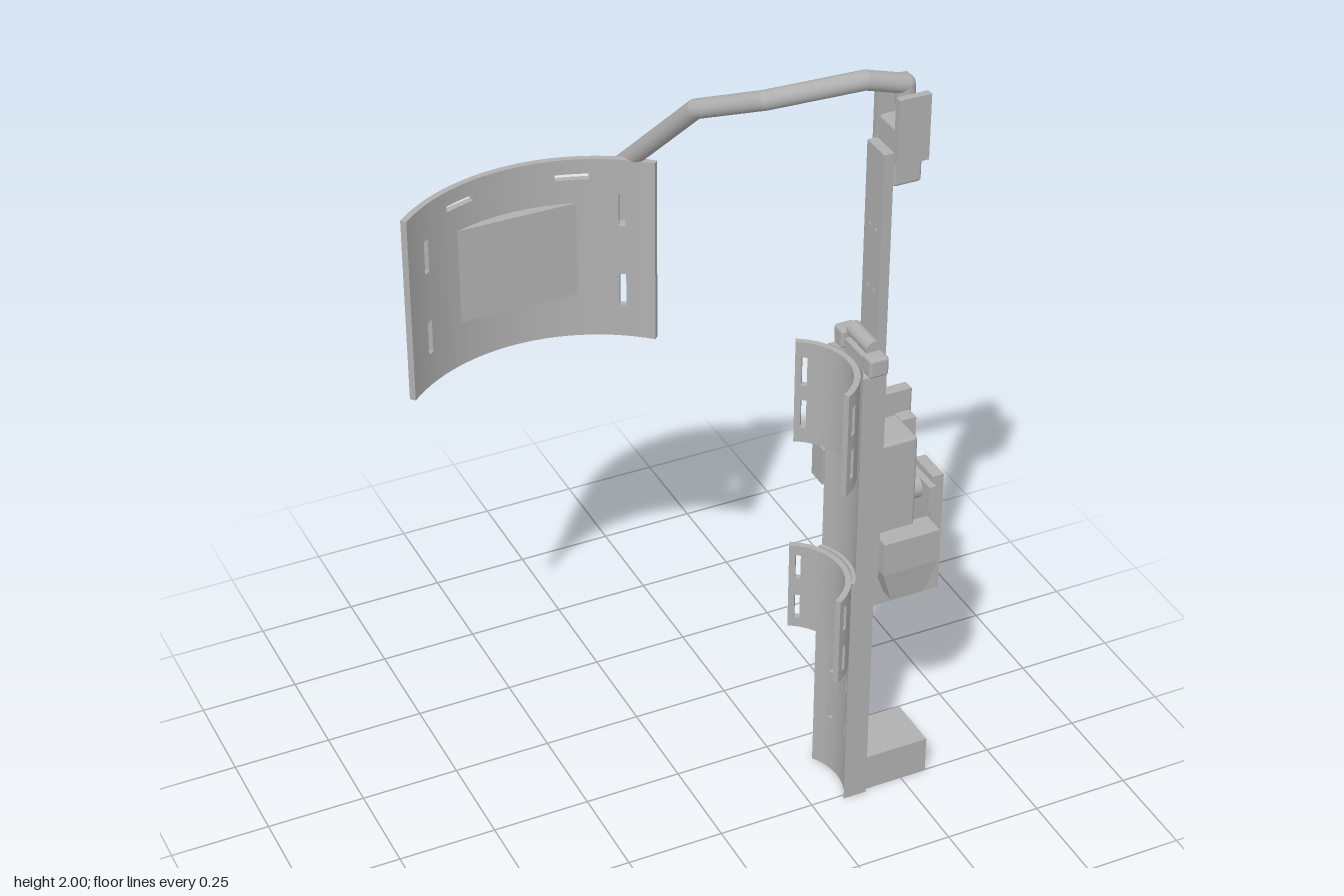
import * as THREE from 'three';
import { toCreasedNormals } from 'three/addons/utils/BufferGeometryUtils.js';
import { RoundedBoxGeometry } from 'three/addons/geometries/RoundedBoxGeometry.js';

export function createModel() {
  const model = new THREE.Group();
  const grey = new THREE.MeshStandardMaterial({ color: 0xb0b0b0 });
  grey.name = 'machined grey';

  const add = (name, geo) => {
    const mesh = new THREE.Mesh(geo, grey);
    mesh.name = name;
    model.add(mesh);
    return mesh;
  };

  // Box given by its limits, optionally with rounded edges
  const box = (name, x0, x1, y0, y1, z0, z1, r = 0) => {
    const s = [x1 - x0, y1 - y0, z1 - z0];
    const geo = r ? new RoundedBoxGeometry(...s, 2, r) : new THREE.BoxGeometry(...s);
    geo.translate((x0 + x1) / 2, (y0 + y1) / 2, (z0 + z1) / 2);
    return add(name, geo);
  };

  // Sheet between two surfaces (side 0 and 1) with rectangular holes [u0, u1, v0, v1]
  const sheet = (name, [u0, u1, n], [v0, v1], holes, surf) => {
    const us = [], vs = [v0, v1], pos = [];
    for (let i = 0; i <= n; i++) us.push(u0 + (u1 - u0) * i / n);
    for (const h of holes) { us.push(h[0], h[1]); vs.push(h[2], h[3]); }
    const sorted = (a) => a.sort((p, q) => p - q).filter((v, i) => !i || v - a[i - 1] > 1e-6);
    const U = sorted(us), V = sorted(vs);
    const solid = (i, j) => {
      if (i < 0 || j < 0 || i >= U.length - 1 || j >= V.length - 1) return false;
      const u = (U[i] + U[i + 1]) / 2, v = (V[j] + V[j + 1]) / 2;
      return !holes.some((h) => u > h[0] && u < h[1] && v > h[2] && v < h[3]);
    };
    const quad = (a, b, c, d) => pos.push(...a, ...b, ...c, ...a, ...c, ...d);
    for (let i = 0; i < U.length - 1; i++) {
      for (let j = 0; j < V.length - 1; j++) {
        if (!solid(i, j)) continue;
        const p = (a, b, s) => surf(U[i + a], V[j + b], s);
        quad(p(0, 0, 0), p(1, 0, 0), p(1, 1, 0), p(0, 1, 0));
        quad(p(0, 0, 1), p(0, 1, 1), p(1, 1, 1), p(1, 0, 1));
        if (!solid(i - 1, j)) quad(p(0, 0, 1), p(0, 0, 0), p(0, 1, 0), p(0, 1, 1));
        if (!solid(i + 1, j)) quad(p(1, 0, 0), p(1, 0, 1), p(1, 1, 1), p(1, 1, 0));
        if (!solid(i, j - 1)) quad(p(0, 0, 1), p(1, 0, 1), p(1, 0, 0), p(0, 0, 0));
        if (!solid(i, j + 1)) quad(p(0, 1, 0), p(1, 1, 0), p(1, 1, 1), p(0, 1, 1));
      }
    }
    const geo = new THREE.BufferGeometry();
    geo.setAttribute('position', new THREE.Float32BufferAttribute(pos, 3));
    geo.computeVertexNormals();
    return add(name, toCreasedNormals(geo, 0.5));
  };

  // Slab facing x, drilled with small square holes at [z, y]
  const drilled = (name, x0, x1, y0, y1, z0, z1, points) => sheet(name, [z0, z1, 1], [y0, y1],
    points.map(([z, y]) => [z - 0.005, z + 0.005, y - 0.006, y + 0.006]),
    (z, y, s) => [s ? x1 : x0, y, z]);

  // Profile of [z, y] points extruded along x
  const extrudeX = (name, pts, x0, x1) => {
    const shape = new THREE.Shape(pts.map(([z, y]) => new THREE.Vector2(-z, y)));
    const b = 0.006;
    const geo = new THREE.ExtrudeGeometry(shape, {
      depth: x1 - x0 - 2 * b, bevelSize: b, bevelThickness: b, bevelOffset: -b, bevelSegments: 2 });
    geo.rotateY(Math.PI / 2).translate(x0 + b, 0, 0);
    return add(name, geo);
  };

  // Curved back plate with strap slots
  const slots = [];
  for (const s of [-1, 1]) {
    const a = 0.575 * s, t = 0.317 * s;
    slots.push([a - 0.018, a + 0.018, 1.285, 1.37], [a - 0.018, a + 0.018, 1.5, 1.585]);
    slots.push([t - 0.088, t + 0.088, 1.622, 1.637]);
  }
  sheet('backPlate', [-0.75, 0.75, 32], [1.2, 1.675], slots, (a, y, s) => {
    const r = s ? 0.459 : 0.444;
    return [-0.283 + r * Math.sin(a), y, 0.159 - r * Math.cos(a)];
  });

  // Pad block through the back plate, with its screws
  box('backPad', -0.455, -0.11, 1.315, 1.56, -0.313, -0.26);
  for (const x of [-0.42, -0.145]) for (const y of [1.35, 1.525]) {
    const screw = new THREE.CylinderGeometry(0.008, 0.008, 0.006, 12);
    add('padScrew', screw.rotateX(Math.PI / 2).translate(x, y, -0.313));
  }

  // Clamp holding the tube on the plate
  const clamp = new THREE.Shape([[-0.095, 0.3], [-0.095, 0.26], [0.03, 0.18], [0.03, 0.23]]
    .map(([x, y]) => new THREE.Vector2(x, y)));
  const clampGeo = new THREE.ExtrudeGeometry(clamp, { depth: 0.125, bevelEnabled: false });
  add('tubeClamp', clampGeo.rotateX(-Math.PI / 2).translate(0, 1.375, 0));

  // Bent tube: straight runs joined by round elbows
  const path = [[-0.018, 1.43, -0.258], [-0.018, 1.64, -0.255], [0.05, 1.885, -0.015],
    [0.14, 1.965, 0.145], [0.37, 1.975, 0.173], [0.47, 1.945, 0.175], [0.472, 1.9, 0.175]]
    .map((p) => new THREE.Vector3(...p));
  const up = new THREE.Vector3(0, 1, 0), tubeR = 0.023;
  for (let i = 0; i < path.length - 1; i++) {
    const dir = path[i + 1].clone().sub(path[i]);
    const run = add('tubeRun', new THREE.CylinderGeometry(tubeR, tubeR, dir.length(), 20));
    run.position.copy(path[i]).addScaledVector(dir, 0.5);
    run.quaternion.setFromUnitVectors(up, dir.normalize());
    if (i) add('tubeElbow', new THREE.SphereGeometry(tubeR, 20, 12)).position.copy(path[i]);
  }

  // Upper bar and tube holder
  drilled('upperBar', 0.402, 0.427, 1.25, 1.8, 0.135, 0.215,
    [[0.16, 1.6], [0.19, 1.6], [0.16, 1.44], [0.19, 1.44]]);
  box('holderCore', 0.428, 0.5, 1.71, 1.86, 0.135, 0.215, 0.008);
  box('holderBack', 0.425, 0.505, 1.775, 1.94, 0.117, 0.134);
  box('holderFront', 0.425, 0.505, 1.775, 1.94, 0.216, 0.234);
  add('holderScrew', new THREE.CylinderGeometry(0.009, 0.009, 0.12, 12)
    .rotateX(Math.PI / 2).translate(0.465, 1.82, 0.175));

  // Column in two lengths, hollowed on the inner side
  const column = (name, dx, y0, y1, holes) => sheet(name, [0.09, 0.262, 12], [y0, y1], holes,
    (z, y, s) => [(s ? 0.395 : 0.21 + Math.sqrt(0.0225 - (z - 0.176) ** 2)) + dx, y, z]);
  const legSlots = [];
  for (const z of [0.135, 0.217]) for (const y of [0.18, 0.325]) {
    legSlots.push([z - 0.007, z + 0.007, y - 0.021, y + 0.021]);
  }
  column('lowerColumn', 0, 0, 0.67, legSlots);
  column('upperColumn', 0.01, 0.67, 1.25, []);
  drilled('footBlock', 0.39, 0.57, 0, 0.1, 0.107, 0.25, [[0.23, 0.05], [0.178, 0.05]]);

  // Curved strap wings with slots
  for (const [name, y0, y1, dx] of [['lowerWing', 0.42, 0.665, -0.004], ['upperWing', 0.97, 1.25, 0]]) {
    const holes = [], h = (y1 - y0) * 0.28, mid = (y0 + y1) / 2;
    for (const a of [-0.91, 0.91]) for (const y of [mid - 0.06, mid + 0.06]) {
      holes.push([a - 0.05, a + 0.05, y - h / 2, y + h / 2]);
    }
    sheet(name, [-1.07, 1.07, 20], [y0, y1], holes, (a, y, s) => {
      const r = s ? 0.153 : 0.138;
      return [0.21 + dx + r * Math.cos(a), y, 0.175 + r * Math.sin(a)];
    });
  }

  // Hinge at the top of the column
  box('hingeBase', 0.365, 0.405, 1.245, 1.28, 0.1, 0.25);
  for (const z of [0.087, 0.228]) {
    box('hingeLug', 0.357, 0.407, 1.25, 1.3, z, z + 0.042, 0.008);
  }
  add('hingePin', new THREE.CylinderGeometry(0.02, 0.02, 0.1, 16)
    .rotateX(Math.PI / 2).translate(0.39, 1.3, 0.175));
  for (const y of [1.14, 1.21]) box('sideStud', 0.4, 0.435, y - 0.015, y + 0.015, 0.098, 0.132);

  // Motor housing
  box('motorBody', 0.403, 0.51, 0.7, 1.03, 0.13, 0.24, 0.008);
  extrudeX('rearCover', [[0.13, 0.84], [0.13, 1.09], [0.1, 1.09], [0.05, 1.04], [0.041, 0.88], [0.085, 0.84]],
    0.403, 0.552);
  box('rearCoverFoot', 0.403, 0.54, 0.76, 0.845, 0.09, 0.132);
  box('rearConnector', 0.337, 0.404, 0.85, 0.95, 0.037, 0.092);
  box('coverSide', 0.505, 0.545, 0.78, 1.03, 0.11, 0.165);

  // Front cover tapering to its bottom edge
  const cover = new THREE.BoxGeometry(0.148, 0.18, 0.064, 1, 2, 1);
  const cp = cover.attributes.position;
  for (let i = 0; i < cp.count; i++) {
    if (cp.getY(i) < -0.05) cp.setXYZ(i, cp.getX(i) * 0.6, cp.getY(i), cp.getZ(i) * 0.6);
  }
  const coverFlat = cover.toNonIndexed();
  coverFlat.computeVertexNormals();
  add('frontCover', coverFlat).position.set(0.478, 0.69, 0.258);

  // Motor bracket, side flange and shaft
  box('motorBracket', 0.4, 0.566, 0.55, 0.7, 0.132, 0.222);
  drilled('sideFlange', 0.565, 0.595, 0.55, 0.887, 0.132, 0.222,
    [[0.148, 0.59], [0.207, 0.59], [0.148, 0.665], [0.207, 0.665], [0.148, 0.84], [0.207, 0.84]]);
  box('shaftPlate', 0.548, 0.566, 0.805, 0.87, 0.107, 0.238);
  add('motorShaft', new THREE.CylinderGeometry(0.03, 0.03, 0.07, 20)
    .rotateZ(Math.PI / 2).translate(0.532, 0.84, 0.177));
  add('shaftHub', new THREE.CylinderGeometry(0.014, 0.014, 0.006, 16)
    .rotateZ(Math.PI / 2).translate(0.595, 0.84, 0.177));

  return model;
}
